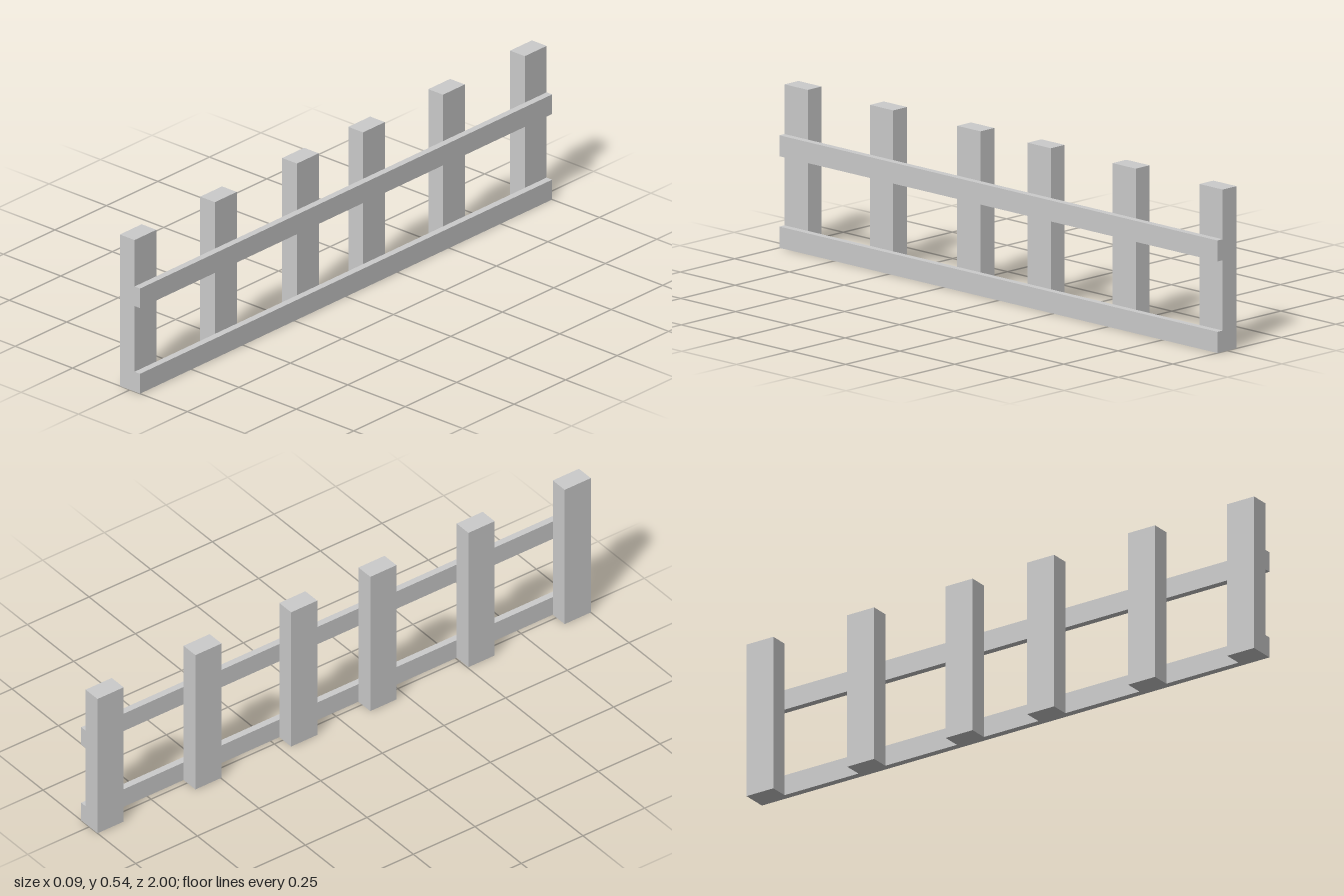
import * as THREE from 'three';

const material = new THREE.MeshStandardMaterial({ color: 0xcccccc, flatShading: true });

// Box given by its minimum and maximum corners
function addBox(group, name, [x0, y0, z0], [x1, y1, z1]) {
  const geometry = new THREE.BoxGeometry(x1 - x0, y1 - y0, z1 - z0);
  const mesh = new THREE.Mesh(geometry, material);
  mesh.position.set((x0 + x1) / 2, (y0 + y1) / 2, (z0 + z1) / 2);
  mesh.name = name;
  group.add(mesh);
}

export function createModel() {
  const fence = new THREE.Group();
  fence.name = 'fence';

  // Six square-topped posts, unevenly spaced along z
  const half = 0.053;
  [-0.947, -0.55, -0.162, 0.159, 0.557, 0.947].forEach((z, i) =>
    addBox(fence, `post${i + 1}`, [-0.044, 0, z - half], [0.02, 0.542, z + half]));

  // Two full-length rails fixed to the left face of the posts
  addBox(fence, 'lowerRail', [0.02, 0, -1], [0.044, 0.071, 1]);
  addBox(fence, 'upperRail', [0.02, 0.306, -1], [0.044, 0.376, 1]);

  return fence;
}
